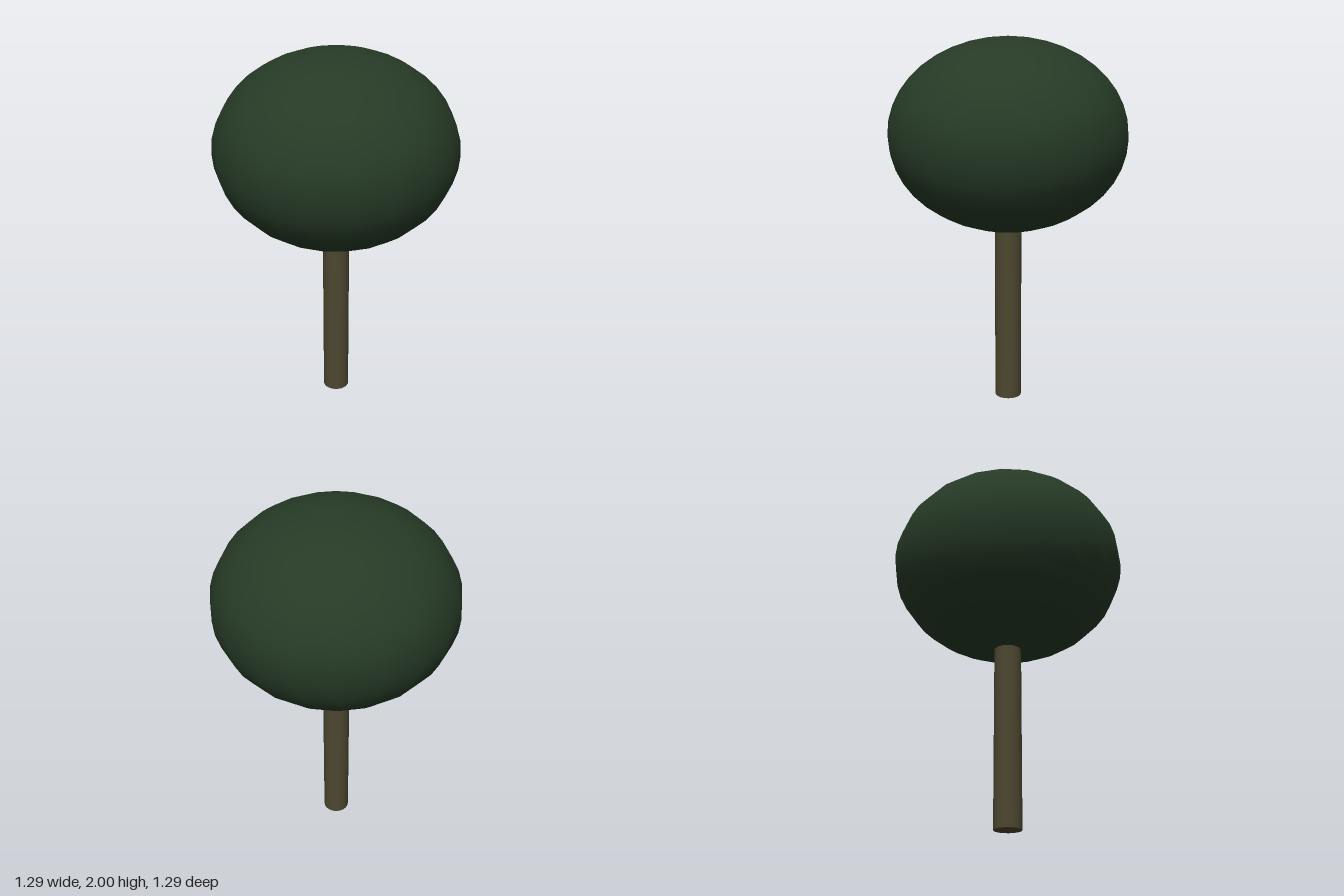
import * as THREE from 'three';

export function createModel() {
  const tree = new THREE.Group();
  tree.name = 'tree';

  const bark = new THREE.MeshStandardMaterial({ color: 0x4d4730 });
  bark.name = 'bark brown';
  const leaves = new THREE.MeshStandardMaterial({ color: 0x263a26 });
  leaves.name = 'leaf green';

  // Straight round trunk, its top tucked into the crown
  const trunkHeight = 1.03;
  const trunk = new THREE.Mesh(new THREE.CylinderGeometry(0.073, 0.073, trunkHeight, 20), bark);
  trunk.name = 'trunk';
  trunk.position.y = trunkHeight / 2;
  tree.add(trunk);

  // Slightly flattened crown
  const crownRadius = 0.643;
  const crownHalfHeight = 0.514;
  const crownGeometry = new THREE.SphereGeometry(crownRadius, 20, 20);
  crownGeometry.scale(1, crownHalfHeight / crownRadius, 1);
  const crown = new THREE.Mesh(crownGeometry, leaves);
  crown.name = 'crown';
  crown.position.y = 2 - crownHalfHeight;
  tree.add(crown);

  return tree;
}
